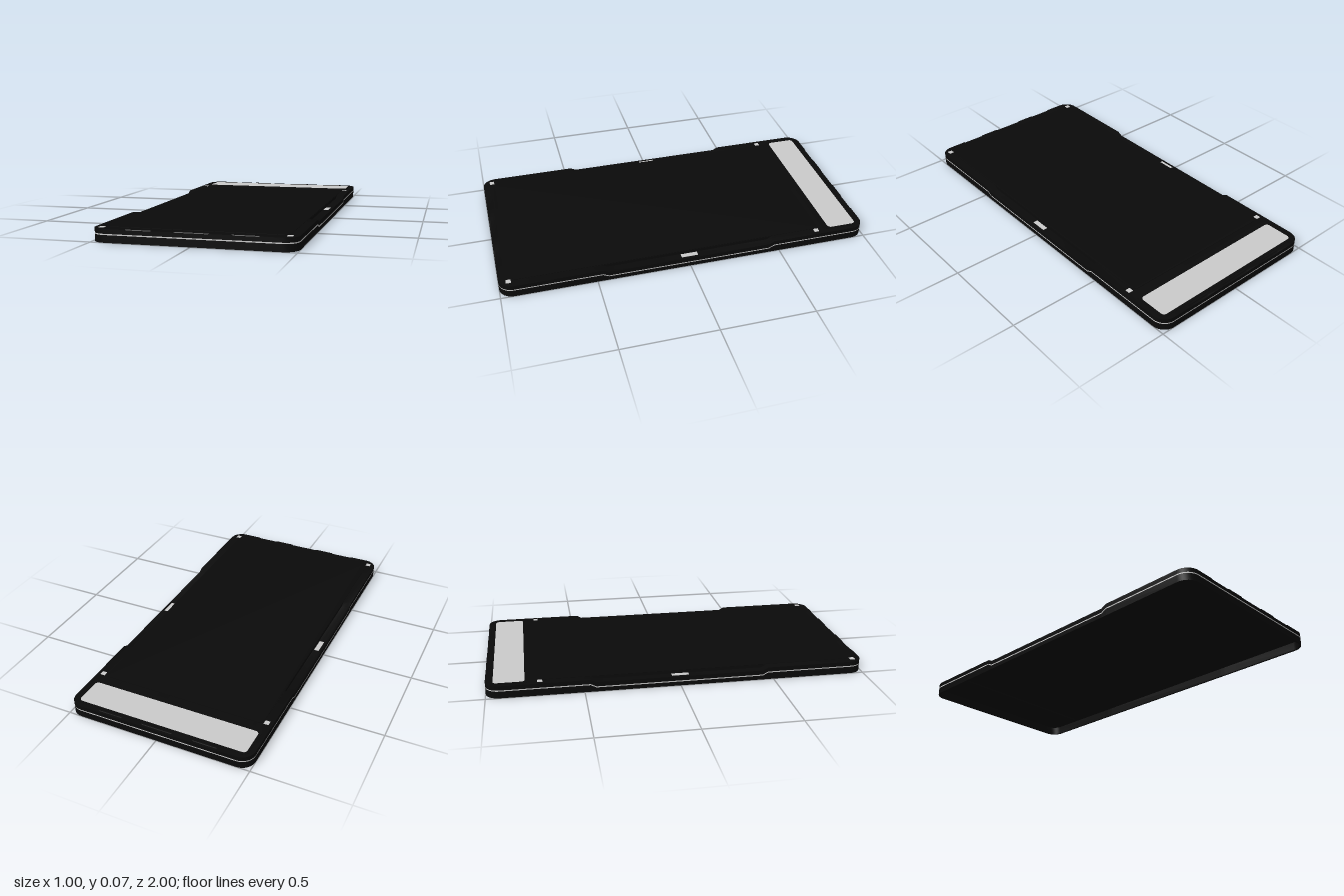
import * as THREE from 'three';
import { toCreasedNormals } from 'three/addons/utils/BufferGeometryUtils.js';

const R = 0.07, HX = 0.5, HZ = 1;
const black = new THREE.MeshStandardMaterial({ color: 0x0a0a0a, side: THREE.DoubleSide });
const grey = new THREE.MeshStandardMaterial({ color: 0xcccccc, side: THREE.DoubleSide });

// Extra points on the straight edges: grip steps on the long sides, shallow notches on the ends
const SIDE = [-0.47, -0.44, 0.44, 0.47];
const NOTCHES = [[-0.32, -0.2], [-0.08, 0.08], [0.2, 0.32]];
const END = NOTCHES.flatMap(([a, b]) => [a - 0.008, a, b, b + 0.008]);

// Rounded outline shrunk by an inset; each point knows its grip drop and notch depth
function ring(inset) {
  const pts = [], r = R - inset;
  const corner = (sx, sz, start) => {
    for (let i = 0; i <= 8; i++) {
      const a = start + (i / 8) * Math.PI / 2;
      pts.push({ x: sx * (HX - R) + r * Math.cos(a), z: sz * (HZ - R) + r * Math.sin(a), drop: 0, notch: 0 });
    }
  };
  const end = (s) => END.forEach((_, i) => {
    const x = -s * END[i];
    pts.push({ x, z: s * (HZ - inset), drop: 0, notch: i % 4 === 1 || i % 4 === 2 ? 0.004 : 0 });
  });
  const side = (s) => SIDE.forEach((v) =>
    pts.push({ x: s * (HX - inset), z: s * v, drop: Math.abs(v) < 0.45 ? 0.015 : 0, notch: 0 }));
  corner(1, 1, 0);
  end(1);
  corner(-1, 1, Math.PI / 2);
  side(-1);
  corner(-1, -1, Math.PI);
  end(-1);
  corner(1, -1, Math.PI * 1.5);
  side(1);
  return pts;
}

// Wall swept round the outline; profile rows are [inset, y, follows drop, follows notch]
function band(name, profile, material) {
  const rows = profile.map(([inset, y, d = 0, n = 0]) =>
    ring(inset).map((p) => [p.x, y - d * p.drop - n * p.notch, p.z]));
  const pos = [], count = rows[0].length;
  for (let j = 0; j < rows.length - 1; j++) {
    for (let i = 0; i < count; i++) {
      const k = (i + 1) % count;
      const a = rows[j][i], b = rows[j][k], c = rows[j + 1][k], d = rows[j + 1][i];
      pos.push(...a, ...d, ...c, ...a, ...c, ...b);
    }
  }
  const g = new THREE.BufferGeometry();
  g.setAttribute('position', new THREE.Float32BufferAttribute(pos, 3));
  return named(name, toCreasedNormals(g, 0.5), material);
}

function named(name, geometry, material) {
  const m = new THREE.Mesh(geometry, material);
  m.name = name;
  return m;
}

// Flat sheet filling an inset outline
function sheet(name, inset, y) {
  const shape = new THREE.Shape(ring(inset).map((p) => new THREE.Vector2(p.x, -p.z)));
  const g = new THREE.ShapeGeometry(shape).rotateX(-Math.PI / 2).translate(0, y, 0);
  return named(name, g, black);
}

function roundedRect(Type, hw, z0, z1, r) {
  const s = new Type(), q = Math.PI / 2;
  s.absarc(hw - r, -z0 - r, r, 0, q);
  s.absarc(-hw + r, -z0 - r, r, q, 2 * q);
  s.absarc(-hw + r, -z1 + r, r, 2 * q, 3 * q);
  s.absarc(hw - r, -z1 + r, r, 3 * q, 4 * q);
  s.closePath();
  return s;
}

function plate(name, shape, y0, y1, material) {
  const g = new THREE.ExtrudeGeometry(shape, { depth: y1 - y0, bevelEnabled: false, curveSegments: 6 });
  return named(name, g.rotateX(-Math.PI / 2).translate(0, y0, 0), material);
}

function block(name, w, h, d, x, y, z, material) {
  return named(name, new THREE.BoxGeometry(w, h, d).translate(x, y, z), material);
}

export function createModel() {
  const model = new THREE.Group();
  model.name = 'slimCase';

  // Open-bottomed lower shell, pale seam and upper bumper with its ledge
  model.add(
    band('lowerShell', [[0.012, 0.045], [0.012, 0], [0, 0], [0, 0.037, 1]], black),
    band('seamStrip', [[0, 0.037, 1], [0, 0.043, 1]], grey),
    band('upperBumper', [[0, 0.043, 1], [0, 0.066, 1, 1], [0.012, 0.066, 1, 1],
      [0.014, 0.066, 1], [0.045, 0.066, 1], [0.046, 0.066]], black),
    sheet('deck', 0.046, 0.066),
    sheet('innerCeiling', 0.012, 0.045),
  );

  // Raised main plate and the header frame around the window
  model.add(plate('mainPlate', roundedRect(THREE.Shape, 0.452, -0.74, 0.935, 0.03), 0.06, 0.068, black));
  const header = roundedRect(THREE.Shape, 0.475, -0.975, -0.77, 0.03);
  header.holes.push(roundedRect(THREE.Path, 0.463, -0.962, -0.8, 0.02));
  model.add(
    plate('headerFrame', header, 0.06, 0.0675, black),
    plate('windowPanel', roundedRect(THREE.Shape, 0.462, -0.961, -0.801, 0.02), 0.06, 0.067, grey),
    block('innerRib', 0.9, 0.008, 0.012, 0, 0.042, -0.755, black),
  );

  // Small pale pads at the corners and on the lowered grips
  for (const s of [-1, 1]) {
    model.add(
      block('rearPad', 0.026, 0.006, 0.026, s * 0.468, 0.065, -0.725, grey),
      block('frontPad', 0.026, 0.006, 0.026, s * 0.458, 0.0655, 0.95, grey),
      block('gripPad', 0.026, 0.006, 0.09, s * 0.472, 0.0495, 0, grey),
    );
  }
  return model;
}
